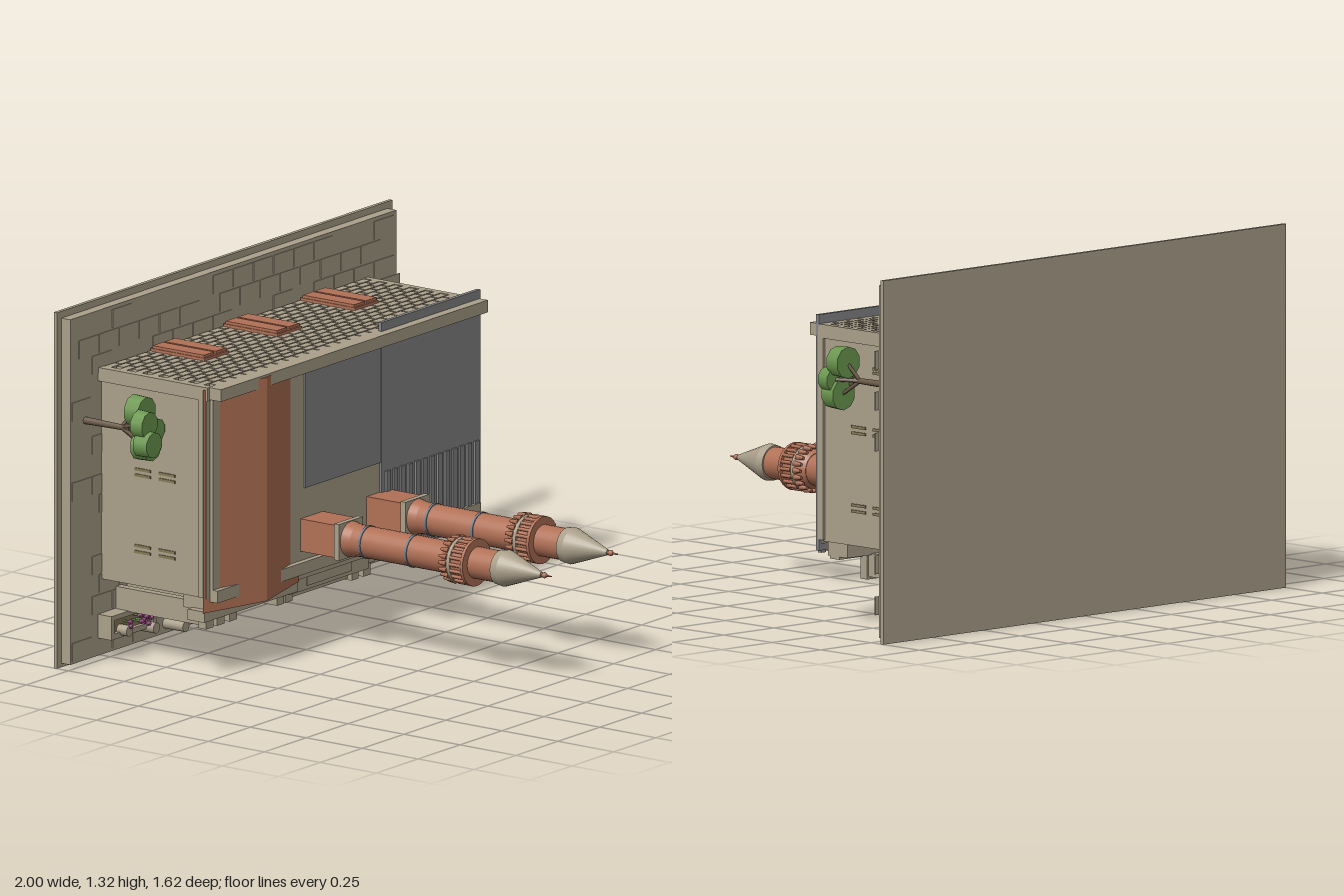
import * as THREE from 'three';
import { mergeGeometries } from 'three/addons/utils/BufferGeometryUtils.js';

const material = (name, color) => {
  const m = new THREE.MeshStandardMaterial({ color });
  m.name = name;
  return m;
};

// Box geometry given by its limits on each axis
function boxGeo(x0, x1, y0, y1, z0, z1) {
  const g = new THREE.BoxGeometry(x1 - x0, y1 - y0, z1 - z0);
  return g.translate((x0 + x1) / 2, (y0 + y1) / 2, (z0 + z1) / 2);
}

// Cylinder whose axis runs along z, from z0 (radius r0) to z1 (radius r1)
function rodGeo(x, y, z0, z1, r0, r1 = r0, sides = 24) {
  const g = new THREE.CylinderGeometry(r1, r0, z1 - z0, sides);
  return g.rotateX(Math.PI / 2).translate(x, y, (z0 + z1) / 2);
}

export function createModel() {
  const stone = material('stone', 0xaa9f8a);
  const brick = material('terracotta', 0xb07055);
  const slate = material('slate grey', 0x858587);
  const steel = material('blue grey', 0x737c88);
  const earth = material('olive earth', 0x857a55);
  const leaf = material('leaf green', 0x6c9850);
  const bark = material('bark', 0x6a5a48);
  const pink = material('flower pink', 0xb8559a);

  const model = new THREE.Group();
  const add = (name, mat, ...geos) => {
    const mesh = new THREE.Mesh(geos.length > 1 ? mergeGeometries(geos) : geos[0], mat);
    mesh.name = name;
    model.add(mesh);
    return mesh;
  };
  let seed = 7;
  const rand = () => (seed = (seed * 16807) % 2147483647) / 2147483647;

  // Ground slab and paving
  add('basePlate', stone, boxGeo(-1, 1, 0, 1.315, -0.815, -0.8));
  add('pavement', stone, boxGeo(-0.975, 0.97, 0.015, 1.29, -0.8, -0.76));
  const pavers = [];
  for (let row = 0; row < 17; row++) {
    const y = 0.025 + row * 0.074;
    for (let col = 0; col < 16; col++) {
      const x = -0.965 + col * 0.12 + (row % 2) * 0.04;
      if (rand() < 0.65) pavers.push(boxGeo(x, x + 0.113, y, y + 0.067, -0.76, -0.757));
    }
  }
  add('pavingStones', stone, ...pavers);

  // Main building block
  add('mainBlock', stone, boxGeo(-0.79, 0.785, 0.295, 1.07, -0.76, -0.262));
  add('sideCornice', stone,
    boxGeo(-0.81, -0.785, 0.3, 1.07, -0.31, -0.275),
    boxGeo(0.78, 0.795, 0.3, 1.07, -0.29, -0.265));
  add('cornerPiers', stone,
    boxGeo(-0.81, -0.78, 1.03, 1.08, -0.76, -0.27),
    boxGeo(0.77, 0.795, 1.03, 1.08, -0.76, -0.27));

  // Raised bricks on the upper wall, leaving room for the shutters
  const bricks = [];
  for (let row = 0; row < 14; row++) {
    const z = -0.752 + row * 0.0345;
    for (let col = 0; col < 25; col++) {
      const x = -0.78 + col * 0.062 + (row % 2) * 0.025;
      bricks.push(boxGeo(x, x + 0.055, 1.068, 1.08, z, z + 0.029));
    }
  }
  add('wallBricks', stone, ...bricks);
  for (const x of [-0.44, -0.005, 0.455]) {
    add('shutterFrame', brick, boxGeo(x - 0.071, x + 0.071, 1.07, 1.09, -0.75, -0.507));
    for (const s of [-1, 1])
      add('shutter', brick, boxGeo(x + s * 0.036 - 0.031, x + s * 0.036 + 0.031, 1.085, 1.1, -0.743, -0.514));
  }

  // Narrow window strips on both ends
  for (const [y, zs] of [[0.945, [-0.575]], [0.93, [-0.575]], [0.725, [-0.465, -0.575]],
    [0.703, [-0.465, -0.575]], [0.442, [-0.465, -0.575]], [0.42, [-0.465, -0.575]]])
    for (const z of zs)
      for (const x of [-0.79, 0.785])
        add('windowStrip', earth, boxGeo(x - 0.004, x + 0.004, y - 0.005, y + 0.005, z - 0.036, z + 0.036));

  // Parapets and flat roof panels
  add('upperParapet', stone, boxGeo(-0.8, 0.79, 1.035, 1.08, -0.275, -0.217));
  add('lowerParapet', stone, boxGeo(-0.79, 0.78, 0.285, 0.33, -0.275, -0.24));
  add('roofPanel', slate, boxGeo(-0.245, 0.24, 0.595, 1.04, -0.264, -0.257));
  add('roofPanel', slate, boxGeo(0.205, 0.793, 0.26, 1.113, -0.268, -0.253));
  const ribs = [];
  for (let i = 0; i < 13; i++) {
    const x = 0.225 + i * 0.044;
    ribs.push(boxGeo(x, x + 0.024, 0.25, 0.56, -0.262, -0.245));
  }
  add('roofRibs', slate, ...ribs);

  // Low gable that rises through the flat roof
  const gable = new THREE.Shape([[-0.82, -0.282], [-0.25, -0.282], [-0.54, -0.207]]
    .map(([x, z]) => new THREE.Vector2(x, -z)));
  const gableGeo = new THREE.ExtrudeGeometry(gable, { depth: 0.825, bevelEnabled: false });
  add('gableRoof', brick, gableGeo.rotateX(-Math.PI / 2).translate(0, 0.247, 0));

  // Lower facade: entablature, wings, columns and porch
  add('entablature', stone, boxGeo(-0.78, 0.78, 0.245, 0.297, -0.4, -0.3));
  add('wingBalcony', stone, boxGeo(-0.81, -0.25, 0.21, 0.25, -0.36, -0.285));
  add('wingBalcony', stone, boxGeo(0.24, 0.78, 0.235, 0.29, -0.36, -0.31));
  for (const x of [-0.69, -0.625, -0.55, 0.56, 0.6, 0.645]) {
    add('column', stone, boxGeo(x - 0.016, x + 0.016, 0.165, 0.25, -0.757, -0.35));
    add('columnHead', stone, boxGeo(x - 0.022, x + 0.022, 0.155, 0.25, -0.385, -0.35));
  }
  for (const x of [-0.255, -0.205, 0.19, 0.26]) {
    add('porchColumn', stone, boxGeo(x - 0.02, x + 0.02, 0.15, 0.29, -0.757, -0.36));
    add('porchColumnHead', stone, boxGeo(x - 0.025, x + 0.025, 0.2, 0.29, -0.4, -0.345));
  }
  add('porchRoof', stone, boxGeo(-0.235, 0.235, 0.185, 0.295, -0.44, -0.335));
  add('porchPanel', stone, boxGeo(-0.135, 0.13, 0.2, 0.26, -0.335, -0.329));
  add('porchBeam', stone, boxGeo(-0.2, 0.2, 0.155, 0.19, -0.44, -0.38));

  // Entrance steps, each block split by thin gaps
  for (let i = 0; i < 8; i++) {
    const x = -0.385 + i * 0.0975;
    add('stepBlock', stone, boxGeo(x, x + 0.095, 0.105, 0.16, -0.76, -0.735));
  }

  // Planters with earth, shrubs and flowers
  for (const [x0, x1] of [[-0.81, -0.54], [0.635, 0.9]]) {
    add('planter', stone,
      boxGeo(x0, x1, 0.08, 0.1, -0.76, -0.7), boxGeo(x0, x1, 0.15, 0.168, -0.76, -0.7),
      boxGeo(x0, x0 + 0.02, 0.1, 0.15, -0.76, -0.7), boxGeo(x1 - 0.02, x1, 0.1, 0.15, -0.76, -0.7));
    add('planterEarth', earth, boxGeo(x0 + 0.02, x1 - 0.02, 0.1, 0.15, -0.76, -0.715));
    for (let i = 0; i < 14; i++) {
      const x = x0 + 0.065 + rand() * 0.15, y = 0.105 + rand() * 0.045, z = -0.69 + rand() * 0.02;
      add('stem', leaf, rodGeo(x, y, -0.715, z, 0.004, 0.004, 5));
      add('flower', pink, new THREE.IcosahedronGeometry(0.011, 0).translate(x, y, z));
    }
  }

  // Bollards
  for (const [x, y] of [[-0.74, 0.105], [-0.58, 0.083], [-0.405, 0.052], [0.52, 0.087], [0.635, 0.112]])
    add('bollard', stone, rodGeo(x, y, -0.76, -0.67, 0.02, 0.02, 16));

  // Trees: trunk, branches and faceted foliage discs
  const tree = (x, y, z) => {
    add('trunk', bark, rodGeo(x, y, -0.76, z - 0.03, 0.014, 0.01, 8));
    for (const [dx, dy, z0, z1, r] of [[0.025, 0.065, -0.035, 0.025, 0.058],
      [-0.03, 0.035, 0.03, 0.08, 0.052], [0.015, -0.055, 0, 0.06, 0.057],
      [-0.03, -0.035, 0.04, 0.1, 0.05], [0.04, 0, 0.015, 0.065, 0.045]]) {
      add('foliage', leaf, rodGeo(x + dx, y + dy, z + z0, z + z1, r, r * 0.95, 10));
      const path = new THREE.LineCurve3(new THREE.Vector3(x, y, z - 0.07),
        new THREE.Vector3(x + dx, y + dy, z + z0 + 0.01));
      add('branch', bark, new THREE.TubeGeometry(path, 1, 0.007, 6));
    }
  };
  tree(-0.885, 0.9, -0.53);
  tree(0.86, 0.91, -0.48);

  // Twin towers pointing along +z
  for (const x of [-0.2, 0.195]) {
    const y = 0.425;
    const rod = (name, mat, ...r) => add(name, mat, rodGeo(x, y, ...r));
    add('towerBase', brick, boxGeo(x - 0.067, x + 0.067, y - 0.06, y + 0.06, -0.265, -0.1));
    add('towerCollar', stone, boxGeo(x - 0.072, x + 0.072, y - 0.067, y + 0.067, -0.108, -0.086));
    rod('towerFlare', brick, -0.086, -0.05, 0.065, 0.058);
    rod('towerShaft', brick, -0.06, 0.585, 0.058);
    for (const z of [-0.012, 0.195]) rod('towerBand', steel, z, z + 0.01, 0.061);
    rod('galleryFlare', brick, 0.36, 0.4, 0.06, 0.082);
    rod('galleryFloor', stone, 0.4, 0.414, 0.083);
    rod('galleryWall', brick, 0.414, 0.47, 0.076);
    rod('galleryRail', brick, 0.464, 0.476, 0.087);
    for (let i = 0; i < 20; i++) {
      const a = (i / 20) * Math.PI * 2, c = Math.cos(a), s = Math.sin(a);
      add('corbel', brick, rodGeo(x + c * 0.079, y + s * 0.079, 0.365, 0.4, 0.006, 0.011, 6));
      add('baluster', brick, rodGeo(x + c * 0.08, y + s * 0.08, 0.414, 0.466, 0.007, 0.007, 6));
    }
    rod('spireCollar', stone, 0.58, 0.61, 0.063, 0.067);
    rod('spire', stone, 0.61, 0.765, 0.067, 0.01);
    rod('finial', brick, 0.765, 0.81, 0.007, 0.002, 8);
    add('finialBall', brick, new THREE.SphereGeometry(0.011, 10, 8).translate(x, y, 0.778));
  }
  return model;
}
